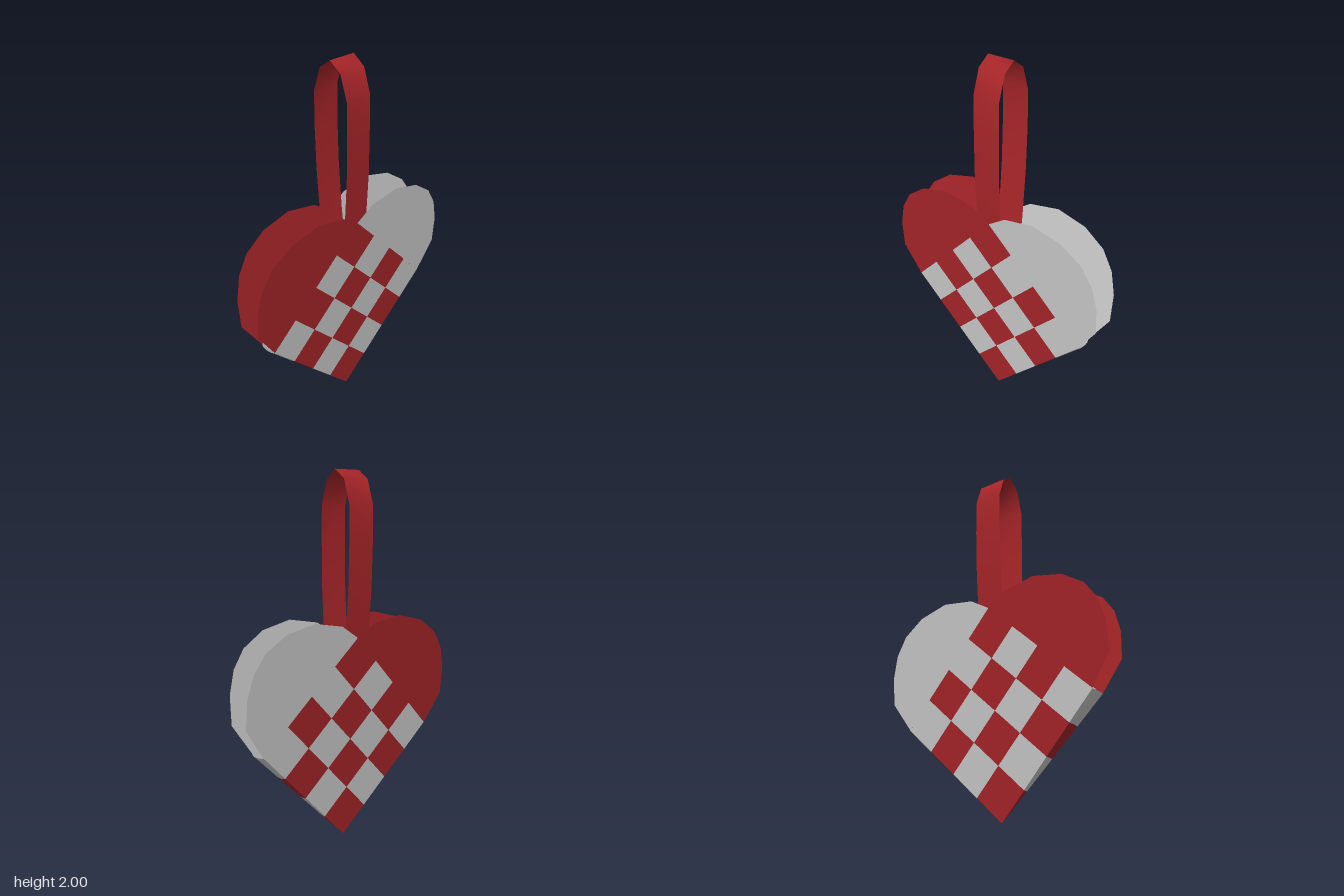
import * as THREE from 'three';
import { mergeGeometries } from 'three/addons/utils/BufferGeometryUtils.js';

const CELLS = 4, SIZE = 0.2, H = Math.SQRT1_2;
const red = new THREE.MeshStandardMaterial({ color: 0xa82529, side: THREE.DoubleSide });
const white = new THREE.MeshStandardMaterial({ color: 0xcccccc, side: THREE.DoubleSide });

// Depth of the front (+1) or back (-1) sheet: they meet at the tip and spread upward
const sheetZ = (y, side) => 0.03 + y * (side > 0 ? 0.07 : -0.11);

// Smooth grid surface from a rule fn(s, t) -> [x, y, z]
function surface(fn, ns, nt) {
  const g = new THREE.PlaneGeometry(1, 1, ns, nt);
  const p = g.attributes.position;
  for (let i = 0; i < p.count; i++) p.setXYZ(i, ...fn(p.getX(i) + 0.5, p.getY(i) + 0.5));
  g.computeVertexNormals();
  return g;
}

// One square of the weave, on the diagonal grid
function weaveCell(i, j, side) {
  return surface((s, t) => {
    const u = (i + s) * SIZE, v = (j + t) * SIZE, y = (u + v) * H;
    return [(u - v) * H, y, sheetZ(y, side)];
  }, 1, 1);
}

// One square of the rounded edge joining the two sheets
function edgeCell(i, mirror) {
  return surface((s, t) => {
    const y = (i + s) * SIZE * H;
    const front = sheetZ(y, 1), back = sheetZ(y, -1);
    const bulge = 0.16 * (front - back) * Math.sqrt(Math.max(0, 1 - (2 * t - 1) ** 2));
    return [mirror * (y + bulge * H), y - bulge * H * 0.4, back + (front - back) * t];
  }, 1, 6);
}

// Rounded ear of the heart above the weave
function lobe(mirror, side) {
  const outline = [[0, 1.13], [0.11, 1.2], [0.29, 1.23], [0.46, 1.19], [0.58, 1.11],
    [0.645, 1.01], [0.677, 0.885], [0.677, 0.73], [0.566, 0.566]];
  const g = new THREE.ShapeGeometry(
    new THREE.Shape(outline.map(([x, y]) => new THREE.Vector2(x * mirror, y))));
  const p = g.attributes.position;
  for (let i = 0; i < p.count; i++) p.setZ(i, sheetZ(p.getY(i), side));
  g.computeVertexNormals();
  return g;
}

export function createModel() {
  const model = new THREE.Group();
  const add = (name, geometry, material) => {
    const mesh = new THREE.Mesh(geometry, material);
    mesh.name = name;
    model.add(mesh);
  };

  // Front and back sheets: checkered weave plus one lobe of each colour
  for (const [label, side] of [['front', 1], ['back', -1]]) {
    const squares = [[], []];
    for (let i = 0; i < CELLS; i++)
      for (let j = 0; j < CELLS; j++) squares[(i + j) % 2].push(weaveCell(i, j, side));
    add(label + 'RedWeave', mergeGeometries(squares[0]), red);
    add(label + 'WhiteWeave', mergeGeometries(squares[1]), white);
    add(label + 'RedLobe', lobe(-1, side), red);
    add(label + 'WhiteLobe', lobe(1, side), white);
  }

  // Folded lower edges, the strips carried round from front to back
  for (const [label, mirror] of [['left', 1], ['right', -1]]) {
    const squares = [[], []];
    for (let i = 0; i < CELLS; i++) squares[i % 2].push(edgeCell(i, mirror));
    add(label + 'RedEdge', mergeGeometries(squares[0]), red);
    add(label + 'WhiteEdge', mergeGeometries(squares[1]), white);
  }

  // Looped paper handle, its ends tucked inside the sheets
  const loop = [[0.09, 0.94], [0.1, 1.13], [0.114, 1.4], [0.115, 1.62], [0.113, 1.82], [0.07, 1.95],
    [0, 2], [-0.07, 1.95], [-0.113, 1.82], [-0.113, 1.62], [-0.105, 1.4], [-0.083, 1.13], [-0.06, 0.94]];
  const handle = surface((s, t) => {
    const [z, y] = loop[Math.round((1 - t) * (loop.length - 1))];
    return [-0.085 + 0.16 * s, y, z];
  }, 1, loop.length - 1);
  add('handle', handle, red);

  return model;
}
